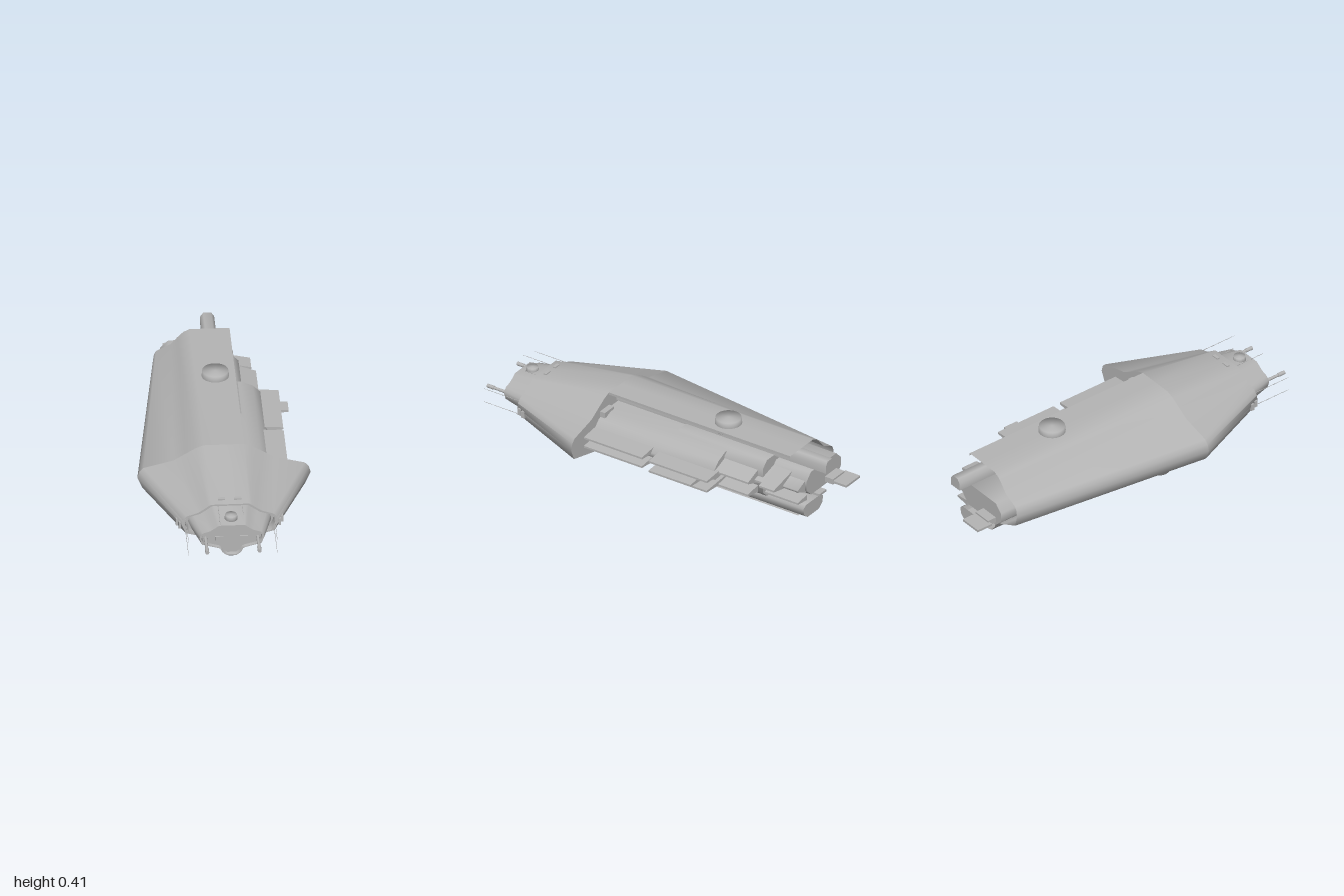
import * as THREE from 'three';
import { toCreasedNormals } from 'three/addons/utils/BufferGeometryUtils.js';

// Half cross-sections, from top centre down the +x side to bottom centre
const WIDE = [[0, .375], [.1, .375], [.14, .36], [.19, .33], [.25, .293], [.4, .255], [.42, .235], [.43, .2],
  [.405, .14], [.2, .09], [.13, .075], [.11, .035], [.085, .01], [.055, 0], [0, 0]];
const FRONT = [[0, .31], [.095, .31], [.11, .3], [.13, .285], [.16, .265], [.215, .247], [.235, .225], [.24, .2],
  [.22, .15], [.11, .12], [.085, .11], [.07, .08], [.05, .062], [.035, .052], [0, .052]];
const REAR_X = [0, .1, .13, .16, .19, .265, .275, .28, .265, .16, .115, .1, .08, .055, 0];
const REAR = WIDE.map(([, y], i) => [REAR_X[i], y]);

// Full ring, mirrored from a half section and scaled about the hull axis
const ring = (half, s = 1) => [...half, ...half.slice(1, -1).reverse().map(([x, y]) => [-x, y])]
  .map(([x, y]) => [x * s, .19 + (y - .19) * s]);
// Open shell path: keel, -x side, roof, down to a short lip on the cut edge
const shellPath = half => [[.03, 0], ...half.slice().reverse().map(([x, y]) => [-x, y]), [.1, .375], [.1, .362]];

function loft(sections, closed) {
  const n = sections[0].pts.length, pos = [], idx = [];
  sections.forEach(({ pts, z }) => pts.forEach(([x, y]) => pos.push(x, y, z)));
  for (let s = 0; s < sections.length - 1; s++) {
    for (let i = 0; i < (closed ? n : n - 1); i++) {
      const a = s * n + i, b = s * n + (i + 1) % n;
      idx.push(a, b, a + n, b, b + n, a + n);
    }
  }
  const g = new THREE.BufferGeometry();
  g.setAttribute('position', new THREE.Float32BufferAttribute(pos, 3));
  g.setIndex(idx);
  return toCreasedNormals(g, 1.2);
}

const shapeOf = pts => new THREE.Shape(pts.map(([x, y]) => new THREE.Vector2(x, y)));
const cap = (pts, z) => new THREE.ShapeGeometry(shapeOf(pts)).translate(0, 0, z);
const prism = (pts, z0, z1) => toCreasedNormals(
  new THREE.ExtrudeGeometry(shapeOf(pts), { depth: z1 - z0, bevelEnabled: false }).translate(0, 0, z0), 1.2);
// Block with cut corners
const chamfered = (x0, x1, y0, y1, c, z0, z1) => prism([[x0 + c, y0], [x1 - c, y0], [x1, y0 + c], [x1, y1 - c],
  [x1 - c, y1], [x0 + c, y1], [x0, y1 - c], [x0, y0 + c]], z0, z1);
// Wedge that thins to an edge at x1
const blade = (x0, x1, y, h, z0, z1) =>
  prism([[x0, y - h], [x1, y - .005], [x1, y + .005], [x0, y + h]], z0, z1);
// Short drum whose rim is shaded softly
const drum = (top, bottom, h) => toCreasedNormals(new THREE.CylinderGeometry(top, bottom, h, 32), 1.8);
const rod = (r0, r1, length, sides) => new THREE.CylinderGeometry(r0, r1, length, sides).rotateX(Math.PI / 2);

export function createModel() {
  const model = new THREE.Group();
  const grey = new THREE.MeshStandardMaterial({ color: 0xb4b4b4, side: THREE.DoubleSide });
  grey.name = 'hull grey';
  const add = (name, geometry, x = 0, y = 0, z = 0) => {
    const m = new THREE.Mesh(geometry, grey);
    m.name = name;
    m.position.set(x, y, z);
    model.add(m);
  };

  // Forward hull with a recessed lip
  add('forwardHull', loft([
    { pts: ring(FRONT, .9), z: .71 }, { pts: ring(FRONT, .93), z: .745 },
    { pts: ring(FRONT), z: .745 }, { pts: ring(WIDE), z: .29 }], true));
  add('lipFloor', cap(ring(FRONT, .9), .71));
  add('hullBulkhead', cap(ring(WIDE), .29));

  // Rear shell, cut open on the +x side
  add('rearShell', loft([{ pts: shellPath(WIDE), z: .29 }, { pts: shellPath(REAR), z: -.8 }], false));

  // Tapered nose with recessed face
  add('nose', loft([
    { pts: ring(FRONT, .61), z: .862 }, { pts: ring(FRONT, .63), z: .88 },
    { pts: ring(FRONT, .67), z: .88 }, { pts: ring(FRONT, .86), z: .71 }], true));
  add('noseFace', cap(ring(FRONT, .61), .862));

  // Inner machinery
  add('mainCore', prism([[-.2, .12], [.13, .12], [.19, .145], [.24, .195], [.24, .215],
    [.19, .265], [.13, .29], [-.2, .29]], -.43, .29));
  add('rearCore', chamfered(-.15, .135, .1, .305, .035, -.66, -.13));
  add('tailCore', chamfered(-.24, .06, .14, .27, .04, -.87, -.4));
  add('roofBeam', prism([[-.035, .3], [.035, .3], [.035, .34], [.02, .362], [-.02, .362], [-.035, .34]], -.97, .29));
  add('keelBeam', prism([[-.05, .025], [.05, .025], [.08, .05], [.085, .085], [.065, .1],
    [-.065, .1], [-.085, .085], [-.08, .05]], -.87, .29));
  add('frontConnector', new THREE.BoxGeometry(.08, .03, .03), .14, .29, .275);

  // Wedge panels standing out of the open side: x0, x1, y, half height, z0, z1
  [[.18, .32, .22, .02, -.06, .29], [.18, .32, .17, .018, -.06, .29],
    [.1, .32, .215, .022, -.45, -.1], [.1, .32, .16, .02, -.45, -.1], [.2, .36, .19, .018, -.38, -.3],
    [.1, .22, .22, .05, -.63, -.42], [.1, .22, .15, .025, -.63, -.42],
    [.04, .2, .21, .04, -.77, -.68], [.04, .165, .21, .04, -.69, -.6], [.04, .12, .2, .04, -.86, -.6],
    [.04, .12, .13, .015, -.86, -.6]
  ].forEach(p => add('sidePanel', blade(...p)));

  // Tail plates
  add('tailPlate', new THREE.BoxGeometry(.12, .012, .09), -.16, .17, -.955);
  add('tailPlateStem', new THREE.BoxGeometry(.1, .03, .06), -.15, .17, -.89);
  add('tailTab', new THREE.BoxGeometry(.06, .012, .06), -.04, .13, -.87);

  // Turrets on the roof and under the -x side
  add('roofTurret', drum(.065, .072, .065), 0, .3725, -.36);
  add('bellyTurret', drum(.072, .066, .09), -.26, .13, .1);

  // Nose domes above and below
  add('upperNoseDome', drum(.029, .035, .03), 0, .283, .82);
  add('lowerNoseDome', drum(.035, .029, .03), 0, .09, .82);
  add('chinSlot', new THREE.BoxGeometry(.04, .008, .02), 0, .053, .71);

  for (const s of [-1, 1]) {
    // Guns with thicker muzzles
    add('gunBarrel', rod(.007, .009, .13, 12), s * .13, .19, .92);
    add('gunMuzzle', rod(.01, .01, .04, 12), s * .13, .19, .98);
    // Needle antennas
    for (const [x, y, z1] of [[.22, .23, .96], [.22, .155, .96], [.06, .3, s < 0 ? .92 : .83]]) {
      add('antenna', rod(.001, .0018, z1 - .7, 6), s * x, y, (z1 + .7) / 2);
    }
    // Windows on the nose, brow and cheeks
    add('noseWindow', new THREE.BoxGeometry(.04, .02, .009), s * .062, .19, .865);
    add('browWindow', new THREE.BoxGeometry(.036, .009, .016), s * .04, .318, .705);
    for (const z of [.725, .695]) {
      add('cheekWindow', new THREE.BoxGeometry(.012, .036, .018), s * (.248 + (.725 - z) * .42), .19, z);
    }
  }
  return model;
}
